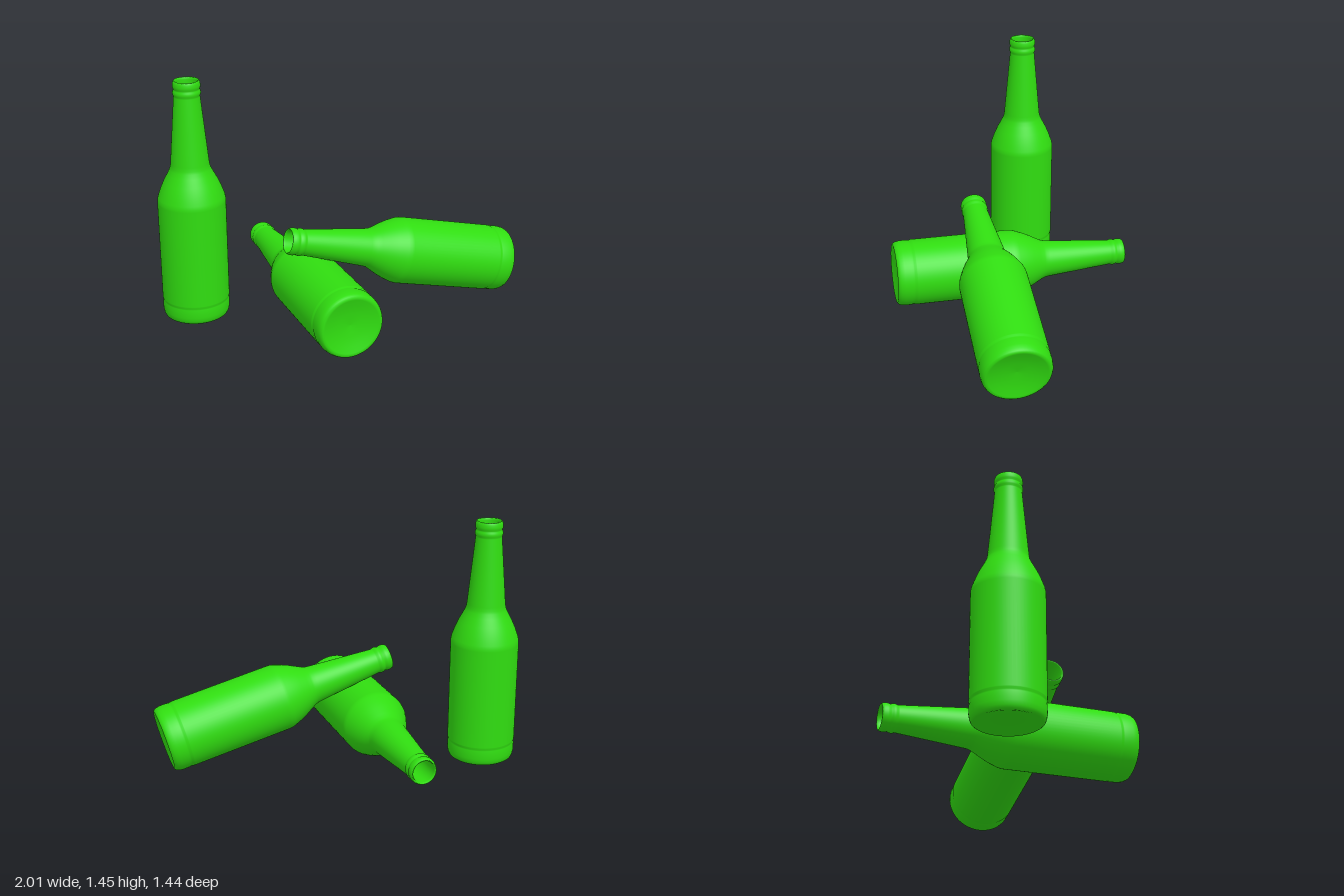
import * as THREE from 'three';

const LENGTH = 1.45;

// Bottle outline (radius, height): punt, foot, body, shoulder, neck, lip, then the inside wall
const profile = [
  [0, 0.03], [0.07, 0.025], [0.13, 0.013], [0.165, 0.002], [0.178, 0], [0.188, 0.007], [0.195, 0.022],
  [0.199, 0.045], [0.199, 0.085], [0.196, 0.097], [0.197, 0.105], [0.2, 0.115], [0.2, 0.12],
  [0.2, 0.72], [0.199, 0.735], [0.195, 0.755], [0.177, 0.805], [0.157, 0.85], [0.133, 0.895],
  [0.12, 0.922], [0.115, 0.938], [0.112, 0.96],
  [0.076, 1.355], [0.076, 1.362], [0.08, 1.37], [0.081, 1.38], [0.079, 1.39], [0.075, 1.396],
  [0.075, 1.402], [0.079, 1.41], [0.08, 1.42], [0.079, 1.435], [0.075, 1.446], [0.071, LENGTH],
  [0.066, 1.446], [0.064, 1.435], [0.064, 1.36], [0.1, 0.95], [0.185, 0.73], [0.185, 0.06], [0, 0.05],
].map(([r, y]) => new THREE.Vector2(r, y));

export function createModel() {
  const model = new THREE.Group();
  model.name = 'bottles';
  const glass = new THREE.MeshStandardMaterial({ color: 0x30dd10 });
  const geometry = new THREE.LatheGeometry(profile, 64);
  const up = new THREE.Vector3(0, 1, 0);

  // Places a bottle with its base centre at one point and its mouth towards another
  function addBottle(name, base, mouth) {
    const foot = new THREE.Vector3(...base);
    const axis = new THREE.Vector3(...mouth).sub(foot).normalize();
    const bottle = new THREE.Mesh(geometry, glass);
    bottle.name = name;
    bottle.position.copy(foot);
    bottle.quaternion.setFromUnitVectors(up, axis);
    model.add(bottle);
  }

  addBottle('standingBottle', [-0.8, 0.005, 0.285], [-0.8, 1.455, 0.285]);
  addBottle('lyingBottle', [0.27, 0.208, 0.597], [-0.67, 0.208, -0.503]);
  addBottle('leaningBottle', [0.887, 0.196, -0.582], [-0.198, 0.55, 0.308]);

  return model;
}
